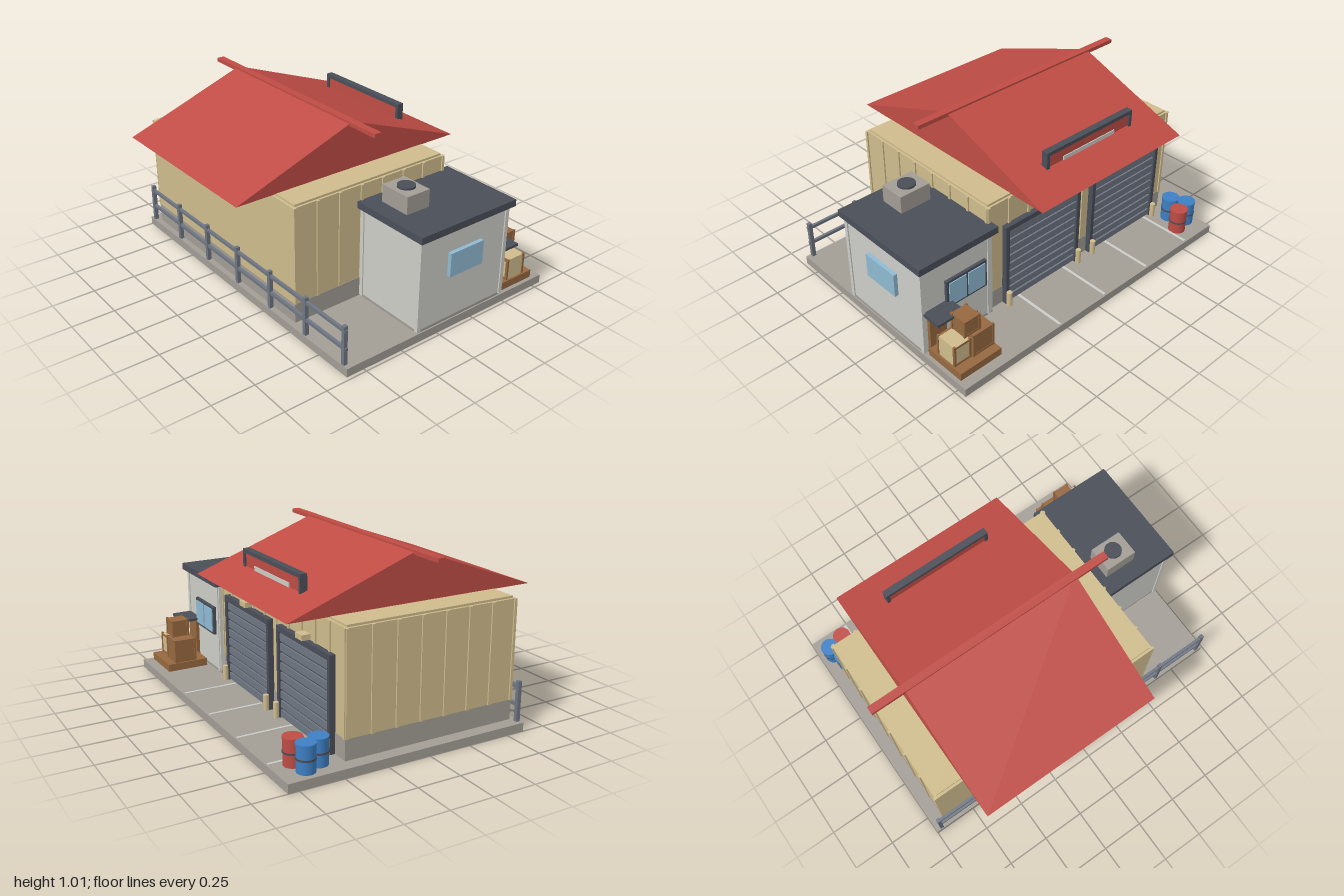
import * as THREE from 'three';

const mat = (name, color) => {
  const m = new THREE.MeshStandardMaterial({ color });
  m.name = name;
  return m;
};

export function createModel() {
  const root = new THREE.Group();
  root.name = 'warehouse';
  const red = mat('roof red', 0xbf4c45), tan = mat('cladding tan', 0xcfbc8d);
  const concrete = mat('concrete grey', 0xa29d95), plaster = mat('plaster white', 0xcdcdc8);
  const dark = mat('charcoal', 0x4a4e58), steel = mat('steel grey', 0x6f7682);
  const blue = mat('drum blue', 0x3d7fc4), brown = mat('timber brown', 0x966840);
  const glass = mat('window glass', 0x8fbad2);

  const group = (name, parent = root) => {
    const g = new THREE.Group();
    g.name = name;
    parent.add(g);
    return g;
  };
  // Box given by its minimum and maximum on each axis
  const box = (name, m, x0, x1, y0, y1, z0, z1, parent = root) => {
    const mesh = new THREE.Mesh(new THREE.BoxGeometry(x1 - x0, y1 - y0, z1 - z0), m);
    mesh.position.set((x0 + x1) / 2, (y0 + y1) / 2, (z0 + z1) / 2);
    mesh.name = name;
    parent.add(mesh);
    return mesh;
  };
  const cyl = (name, m, r, x, y0, y1, z, parent = root, sides = 20) => {
    const mesh = new THREE.Mesh(new THREE.CylinderGeometry(r, r, y1 - y0, sides), m);
    mesh.position.set(x, (y0 + y1) / 2, z);
    mesh.name = name;
    parent.add(mesh);
    return mesh;
  };

  // Ground slab with painted bay lines
  box('groundSlab', concrete, -1, 0.98, 0, 0.05, -0.81, 0.61);
  for (const x of [-0.765, -0.41, -0.055, 0.3])
    box('bayLine', plaster, x - 0.008, x + 0.008, 0.049, 0.053, -0.8, -0.47);

  // Main hall: plinth, walls, top rim and cladding ribs
  const hall = group('hall');
  box('hallPlinth', concrete, -0.925, 0.507, 0.05, 0.165, -0.457, 0.577, hall);
  box('hallWalls', tan, -0.925, 0.505, 0.165, 0.73, -0.455, 0.577, hall);
  box('hallTop', tan, -0.912, 0.493, 0.73, 0.742, -0.443, 0.562, hall);
  for (let i = 0; i < 8; i++) {
    const z = 0.57 - i * 0.1455;
    box('sideRib', tan, 0.505, 0.513, 0.165, 0.73, z - 0.008, z + 0.008, hall);
    box('sideRib', tan, -0.933, -0.925, 0.165, 0.73, z - 0.008, z + 0.008, hall);
  }
  for (let i = 0; i < 11; i++) {
    const x = -0.917 + i * 0.1415;
    box('backRib', tan, x - 0.008, x + 0.008, 0.165, 0.73, -0.463, -0.455, hall);
  }

  // Gable roof prism, extruded along x
  const gable = new THREE.Shape([
    new THREE.Vector2(-0.805, 0.74), new THREE.Vector2(0.68, 0.74), new THREE.Vector2(-0.062, 1.01)]);
  const roofGeo = new THREE.ExtrudeGeometry(gable, { depth: 1.092, bevelEnabled: false });
  roofGeo.rotateY(Math.PI / 2);
  roofGeo.translate(-0.756, 0, 0);
  const roof = new THREE.Mesh(roofGeo, red);
  roof.name = 'gableRoof';
  root.add(roof);
  box('ridgeCap', red, -0.96, 0.54, 0.99, 1.013, 0.04, 0.085);

  // Framed board standing out of the back roof slope
  const board = group('roofBoard');
  box('boardPanel', red, -0.53, 0.105, 0.735, 0.895, -0.482, -0.46, board);
  box('boardStripe', plaster, -0.41, -0.01, 0.8, 0.835, -0.487, -0.481, board);
  box('boardTop', dark, -0.545, 0.12, 0.888, 0.91, -0.492, -0.452, board);
  box('boardBottom', dark, -0.545, 0.12, 0.72, 0.742, -0.492, -0.452, board);
  for (const x of [-0.545, 0.1])
    box('boardSide', dark, x, x + 0.02, 0.72, 0.91, -0.492, -0.452, board);

  // Two roller doors with lamps and bollards
  for (const cx of [0.12, -0.545]) {
    const door = group('rollerDoor');
    const h = 0.283;
    box('doorBacking', dark, cx - h, cx + h, 0.05, 0.56, -0.468, -0.45, door);
    box('doorHeader', dark, cx - h, cx + h, 0.54, 0.572, -0.488, -0.45, door);
    for (const s of [-1, 1]) {
      const x = cx + s * (h - 0.012);
      box('doorJamb', dark, x - 0.012, x + 0.012, 0.05, 0.56, -0.488, -0.45, door);
      cyl('bollard', tan, 0.016, cx + s * 0.272, 0.05, 0.14, -0.502, door, 12);
    }
    for (let i = 0; i < 9; i++) {
      const y = 0.055 + i * 0.0542;
      box('doorSlat', steel, cx - h + 0.024, cx + h - 0.024, y, y + 0.04, -0.479, -0.46, door);
    }
    box('doorLamp', tan, cx - 0.035, cx + 0.035, 0.575, 0.605, -0.505, -0.455, door);
  }

  // Office annex
  const office = group('office');
  box('officeBase', concrete, 0.5, 0.972, 0.05, 0.067, -0.48, 0.137, office);
  box('officeWalls', plaster, 0.5, 0.973, 0.067, 0.6, -0.482, 0.138, office);
  for (const x of [0.512, 0.956])
    for (const z of [-0.488, 0.121])
      box('cornerTrim', plaster, x, x + 0.024, 0.06, 0.6, z, z + 0.024, office);
  box('officeRoof', dark, 0.483, 1, 0.6, 0.64, -0.512, 0.162, office);
  box('sideWindow', glass, 0.96, 0.996, 0.33, 0.47, -0.29, -0.055, office);
  box('backWindowFrame', dark, 0.555, 0.825, 0.285, 0.457, -0.5, -0.475, office);
  for (const x of [0.57, 0.697])
    box('backWindowPane', glass, x, x + 0.113, 0.3, 0.442, -0.506, -0.498, office);
  box('officeDoor', brown, 0.835, 0.945, 0.05, 0.295, -0.503, -0.475, office);
  box('doorCanopy', dark, 0.795, 0.97, 0.312, 0.327, -0.602, -0.48, office);

  // Rooftop vent unit
  box('ventUnit', concrete, 0.585, 0.778, 0.64, 0.742, -0.092, 0.062);
  cyl('ventFan', dark, 0.05, 0.68, 0.742, 0.754, -0.018);

  // Front railing
  const railing = group('railing');
  for (let i = 0; i < 7; i++) {
    const x = -0.963 + i * 0.317;
    box('railPost', steel, x - 0.011, x + 0.011, 0.05, 0.28, 0.583, 0.606, railing);
  }
  for (const y of [0.145, 0.25])
    box('railBar', steel, -0.975, 0.955, y - 0.009, y + 0.009, 0.586, 0.603, railing);

  // Pallet and framed crates
  box('palletBase', brown, 0.682, 0.957, 0.05, 0.095, -0.75, -0.5);
  const crate = (m, x, y, z, w, h, d) => {
    const g = group('crate'), t = 0.013, e = 0.004;
    box('crateBody', m, x - w / 2, x + w / 2, y, y + h, z - d / 2, z + d / 2, g);
    for (const sx of [-1, 1]) {
      const px = x + sx * (w / 2 + e - t / 2);
      for (const sz of [-1, 1]) {
        const pz = z + sz * (d / 2 + e - t / 2);
        box('cratePost', brown, px - t / 2, px + t / 2, y, y + h + e, pz - t / 2, pz + t / 2, g);
      }
    }
    for (const sz of [-1, 1])
      for (const py of [y, y + h - t]) {
        const pz = z + sz * (d / 2 + e / 2 - t / 2);
        box('crateRail', brown, x - w / 2, x + w / 2, py, py + t, pz - t / 2, pz + t / 2, g);
      }
  };
  crate(brown, 0.76, 0.095, -0.635, 0.135, 0.14, 0.13);
  crate(tan, 0.892, 0.095, -0.625, 0.105, 0.125, 0.13);
  crate(brown, 0.818, 0.237, -0.632, 0.1, 0.1, 0.1);

  // Drums with hoops
  for (const [m, x, z] of [[blue, -0.922, -0.672], [red, -0.824, -0.692], [blue, -0.884, -0.582]]) {
    const drum = group('drum');
    cyl('drumBody', m, 0.05, x, 0.05, 0.2, z, drum);
    cyl('drumHoop', dark, 0.053, x, 0.118, 0.128, z, drum);
    cyl('drumRim', m, 0.053, x, 0.19, 0.202, z, drum);
  }
  return root;
}
